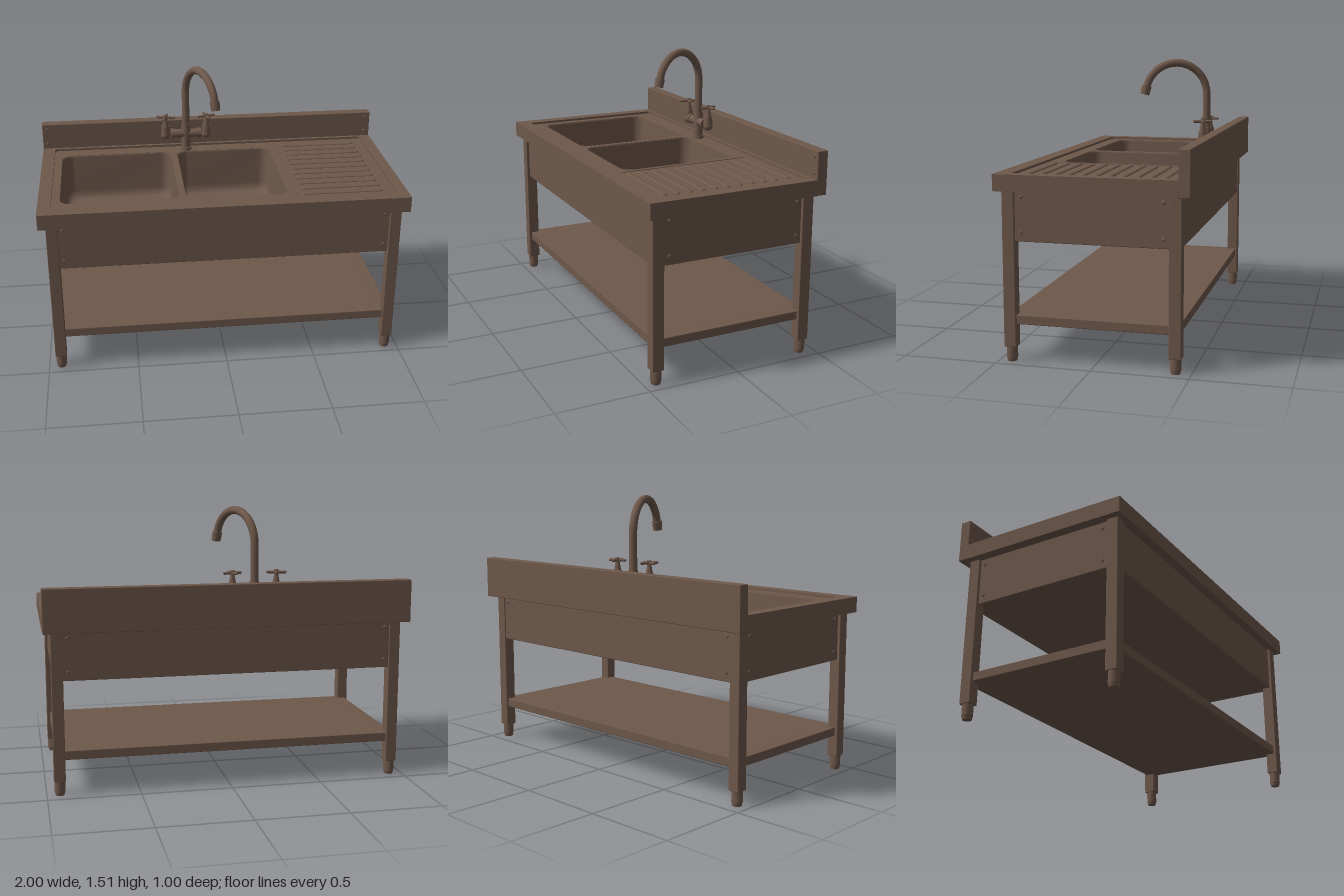
import * as THREE from 'three';
import { RoundedBoxGeometry } from 'three/addons/geometries/RoundedBoxGeometry.js';

const steel = new THREE.MeshStandardMaterial({ color: 0x6e584b });
steel.name = 'brownSteel';

// corner-rounded rectangle as a loop of [x, z] points
function roundRect(x0, x1, z0, z1, r, inset = 0, n = 6) {
  const pts = [];
  x0 += inset; x1 -= inset; z0 += inset; z1 -= inset;
  const corners = [[x1 - r, z1 - r], [x0 + r, z1 - r], [x0 + r, z0 + r], [x1 - r, z0 + r]];
  corners.forEach(([cx, cz], k) => {
    for (let i = 0; i <= n; i++) {
      const a = (k + i / n) * Math.PI / 2;
      pts.push(new THREE.Vector2(cx + r * Math.cos(a), cz + r * Math.sin(a)));
    }
  });
  return pts;
}

// horizontal plate with holes, hanging down from y = top
function slab(outline, holes, top, height) {
  const shape = new THREE.Shape(outline);
  holes.forEach(h => shape.holes.push(new THREE.Path(h)));
  const g = new THREE.ExtrudeGeometry(shape, { depth: height, bevelEnabled: false });
  return g.rotateX(Math.PI / 2).translate(0, top, 0);
}

// open basin lofted through shrinking rounded rectangles
function basin([x0, x1, z0, z1]) {
  const rows = [[0.956, 0], [0.948, 0.006], [0.74, 0.012], [0.71, 0.018], [0.693, 0.032], [0.687, 0.055]];
  const pos = [], idx = [];
  let n = 0;
  rows.forEach(([y, inset]) => {
    const loop = roundRect(x0, x1, z0, z1, 0.06, inset);
    n = loop.length;
    loop.forEach(p => pos.push(p.x, y, p.y));
  });
  for (let r = 0; r < rows.length - 1; r++) {
    for (let i = 0; i < n; i++) {
      const a = r * n + i, b = r * n + (i + 1) % n;
      idx.push(a, a + n, b, b, a + n, b + n);
    }
  }
  const last = (rows.length - 1) * n, centre = pos.length / 3;
  pos.push((x0 + x1) / 2, 0.685, (z0 + z1) / 2);
  for (let i = 0; i < n; i++) idx.push(last + i, centre, last + (i + 1) % n);
  const g = new THREE.BufferGeometry();
  g.setAttribute('position', new THREE.Float32BufferAttribute(pos, 3));
  g.setIndex(idx);
  g.computeVertexNormals();
  return g;
}

export function createModel() {
  const model = new THREE.Group();
  model.name = 'sinkTable';

  const add = (name, geo, x = 0, y = 0, z = 0, parent = model) => {
    const m = new THREE.Mesh(geo, steel);
    m.name = name;
    m.position.set(x, y, z);
    parent.add(m);
    return m;
  };
  // box given by its limits
  const box = (name, x0, x1, y0, y1, z0, z1, r = 0.004) =>
    add(name, new RoundedBoxGeometry(x1 - x0, y1 - y0, z1 - z0, 2, r),
      (x0 + x1) / 2, (y0 + y1) / 2, (z0 + z1) / 2);
  const rod = (name, r0, r1, h, x, y, z, parent) =>
    add(name, new THREE.CylinderGeometry(r0, r1, h, 24), x, y, z, parent);

  // worktop: raised rim, recessed deck and two basins
  const bowls = [[-0.885, -0.235, -0.335, 0.345], [-0.205, 0.36, -0.335, 0.345]];
  const recess = roundRect(-0.93, 0.94, -0.42, 0.42, 0.015);
  add('worktopRim', slab(roundRect(-1, 1, -0.445, 0.5, 0.005), [recess], 0.97, 0.085));
  add('deck', slab(roundRect(-0.935, 0.945, -0.425, 0.425, 0.01),
    bowls.map(b => roundRect(...b, 0.06)), 0.957, 0.01));
  bowls.forEach(b => {
    add('basin', basin(b));
    const x = (b[0] + b[1]) / 2;
    rod('drain', 0.045, 0.045, 0.006, x, 0.688, 0);
    add('drainRing', new THREE.TorusGeometry(0.045, 0.006, 8, 24).rotateX(Math.PI / 2), x, 0.69, 0);
  });
  box('backsplash', -1, 1, 0.885, 1.12, -0.5, -0.44);

  // draining ridges
  for (let i = 0; i < 11; i++) {
    const ridge = add('drainRidge', new THREE.CapsuleGeometry(0.016, 0.42, 5, 12).rotateZ(Math.PI / 2),
      0.652, 0.957, -0.348 + i * 0.0705);
    ridge.scale.y = 0.55;
  }
  box('drainerEdge', 0.387, 0.395, 0.95, 0.961, -0.365, 0.37, 0.002);

  // apron panels, closed below
  for (const z of [-0.435, 0.44]) box('longApron', -0.905, 0.905, 0.625, 0.89, z - 0.01, z + 0.01);
  for (const s of [-1, 1]) box('endApron', s * 0.935 - 0.01, s * 0.935 + 0.01, 0.625, 0.89, -0.395, 0.405);
  box('apronFloorLong', -0.905, 0.905, 0.627, 0.637, -0.44, 0.445);
  box('apronFloorWide', -0.94, 0.94, 0.6275, 0.6365, -0.395, 0.405);

  // legs with round feet
  for (const x of [-0.93, 0.93]) {
    for (const z of [-0.42, 0.435]) {
      box('leg', x - 0.031, x + 0.031, 0.078, 0.887, z - 0.032, z + 0.032);
      rod('foot', 0.029, 0.029, 0.06, x, 0.05, z);
      rod('footTip', 0.028, 0.024, 0.02, x, 0.01, z);
    }
  }

  // lower shelf, notched around the legs
  box('shelfLong', -0.905, 0.905, 0.195, 0.245, -0.44, 0.45);
  box('shelfWide', -0.945, 0.945, 0.196, 0.244, -0.392, 0.405);

  // rivets
  const rivet = (x, y, z, nx, nz) => {
    const m = add('rivet', new THREE.SphereGeometry(0.01, 12, 8), x, y, z);
    m.scale.set(nx ? 0.6 : 1, 1, nz ? 0.6 : 1);
  };
  for (const s of [-1, 1]) {
    for (const y of [0.672, 0.853]) {
      rivet(s * 0.873, y, 0.45, 0, 1);
      rivet(s * 0.873, y, -0.445, 0, 1);
      rivet(s * 0.945, y, 0.37, 1, 0);
      rivet(s * 0.945, y, -0.36, 1, 0);
    }
    for (const y of [1.0, 1.09]) rivet(s * 0.97, y, -0.44, 0, 1);
  }

  // mixer tap
  const tap = new THREE.Group();
  tap.name = 'tap';
  tap.position.set(-0.145, 0, -0.37);
  model.add(tap);
  rod('tapFlange', 0.032, 0.034, 0.02, 0, 0.965, 0, tap);
  rod('tapBase', 0.027, 0.027, 0.1, 0, 1.02, 0, tap);
  rod('tapCollar', 0.026, 0.03, 0.05, 0, 1.095, 0, tap);
  add('tapBody', new THREE.CylinderGeometry(0.025, 0.025, 0.18, 24).rotateZ(Math.PI / 2), 0, 1.06, 0, tap);
  for (const s of [-1, 1]) {
    const x = s * 0.122;
    add('tapElbow', new THREE.SphereGeometry(0.028, 20, 14), x, 1.055, 0, tap);
    add('tapNut', new THREE.CylinderGeometry(0.03, 0.03, 0.02, 24).rotateZ(Math.PI / 2), s * 0.08, 1.06, 0, tap);
    rod('valve', 0.023, 0.027, 0.05, x, 1.085, 0, tap);
    rod('valveStem', 0.011, 0.02, 0.05, x, 1.13, 0, tap);
    rod('handleHub', 0.013, 0.013, 0.026, x, 1.165, 0, tap);
    for (let k = 0; k < 2; k++) {
      const bar = add('handleBar', new THREE.CapsuleGeometry(0.008, 0.095, 4, 10).rotateZ(Math.PI / 2), x, 1.165, 0, tap);
      bar.rotation.y = s * 0.25 + k * Math.PI / 2;
    }
  }

  // swan-neck spout, turned toward the front left
  const spout = new THREE.Group();
  spout.name = 'spout';
  spout.position.copy(tap.position);
  spout.rotation.y = -Math.atan2(0.33, 0.14);
  model.add(spout);
  const R = 0.179, cy = 1.314, end = Math.PI * 0.92;
  const path = [new THREE.Vector3(0, 1.1, 0), new THREE.Vector3(0, 1.2, 0), new THREE.Vector3(0, 1.27, 0)];
  for (let i = 0; i <= 14; i++) {
    const a = end * i / 14;
    path.push(new THREE.Vector3(R - R * Math.cos(a), cy + R * Math.sin(a), 0));
  }
  add('spoutTube', new THREE.TubeGeometry(new THREE.CatmullRomCurve3(path), 64, 0.022, 16), 0, 0, 0, spout);
  const tip = path[path.length - 1];
  const dir = new THREE.Vector3(Math.sin(end), Math.cos(end), 0);
  const nozzle = rod('nozzle', 0.028, 0.026, 0.05, tip.x + dir.x * 0.02, tip.y + dir.y * 0.02, 0, spout);
  nozzle.rotation.z = Math.PI - end;

  return model;
}
